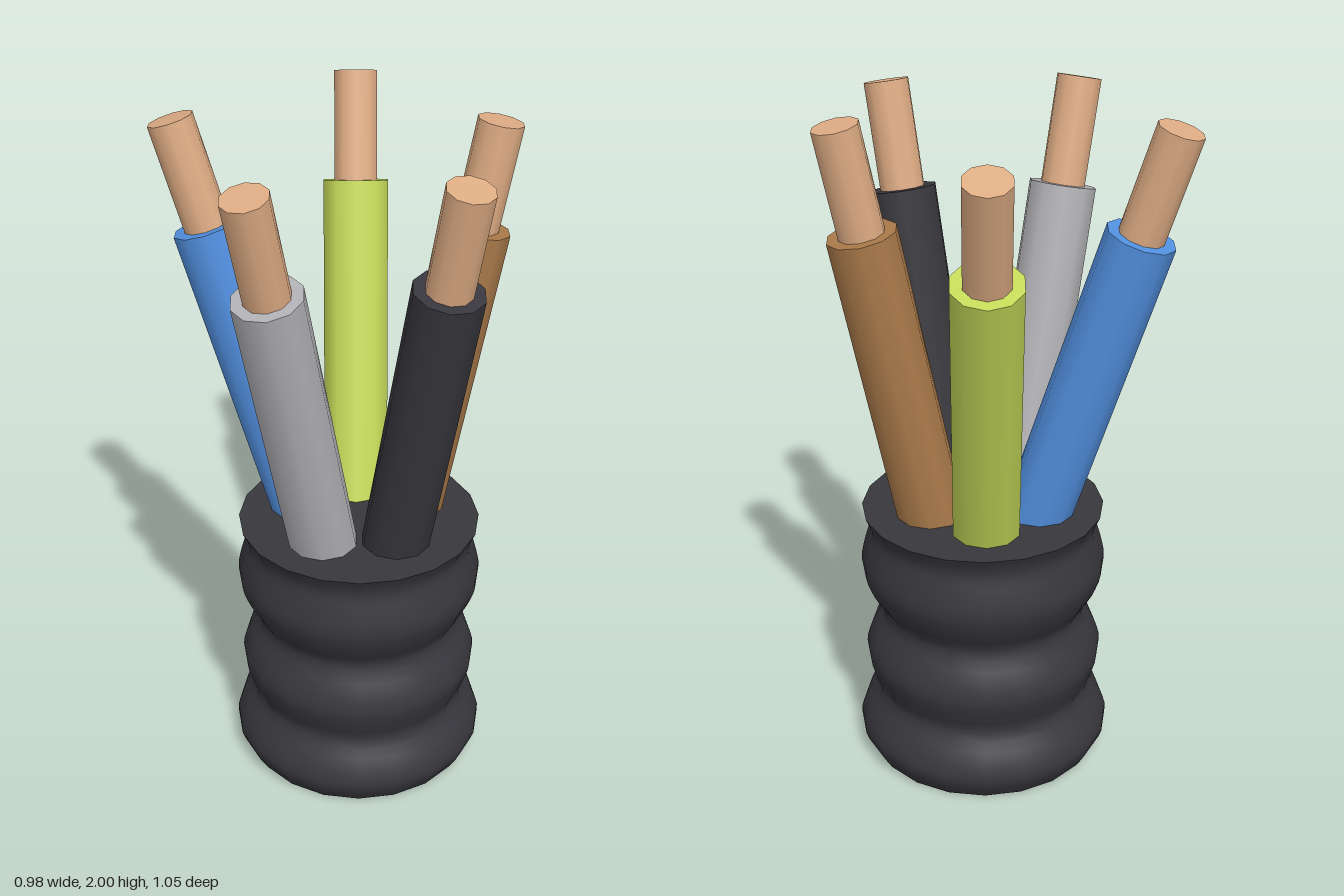
import * as THREE from 'three';

const material = (name, color) => {
  const m = new THREE.MeshStandardMaterial({ color });
  m.name = name;
  return m;
};

const mats = {
  black: material('black rubber', 0x37373d),
  blue: material('blue insulation', 0x5290e0),
  green: material('yellow green insulation', 0xc4d858),
  grey: material('grey insulation', 0xb2b2b6),
  brown: material('brown insulation', 0xaa7a4a),
  copper: material('copper', 0xdeac84),
};

// cylinder running between two points
function rod(name, from, to, radius, mat) {
  const dir = to.clone().sub(from);
  const mesh = new THREE.Mesh(new THREE.CylinderGeometry(radius, radius, dir.length(), 10), mat);
  mesh.position.copy(from).add(to).multiplyScalar(0.5);
  mesh.quaternion.setFromUnitVectors(new THREE.Vector3(0, 1, 0), dir.normalize());
  mesh.name = name;
  return mesh;
}

// ribbed outer sheath with flat end caps
function makeSheath() {
  const sheath = new THREE.Group();
  sheath.name = 'sheath';
  const sides = 20;
  const knots = [
    [0.35, 0], [0.383, 0.065], [0.368, 0.13], [0.327, 0.205], [0.342, 0.265], [0.358, 0.33],
    [0.342, 0.395], [0.306, 0.475], [0.34, 0.545], [0.365, 0.62], [0.354, 0.69], [0.338, 0.755], [0.358, 0.81],
  ].map(([r, y]) => new THREE.Vector2(r, y));
  const profile = new THREE.SplineCurve(knots).getPoints(36);
  const wall = new THREE.Mesh(new THREE.LatheGeometry(profile, sides), mats.black);
  wall.name = 'ribbedWall';
  const top = new THREE.Mesh(new THREE.CircleGeometry(0.358, sides), mats.black);
  top.name = 'sheathTop';
  top.rotation.x = -Math.PI / 2;
  top.position.y = 0.81;
  const bottom = new THREE.Mesh(new THREE.CircleGeometry(0.35, sides), mats.black);
  bottom.name = 'sheathBottom';
  bottom.rotation.x = Math.PI / 2;
  sheath.add(wall, top, bottom);
  sheath.position.set(0.038, 0, 0.014);
  return sheath;
}

export function createModel() {
  const model = new THREE.Group();
  model.name = 'strippedCable';
  model.add(makeSheath());

  // each wire: foot at the sheath top (x, z) and centre of the bare copper tip (x, z, y)
  const wires = [
    ['black', [0.043, 0.187], [0.045, 0.459, 1.985]],
    ['grey', [-0.13, 0.066], [-0.43, 0.169, 1.983]],
    ['blue', [-0.06, -0.126], [-0.283, -0.423, 1.981]],
    ['green', [0.133, -0.13], [0.377, -0.468, 1.978]],
    ['brown', [0.198, 0.053], [0.424, 0.13, 1.987]],
  ];
  for (const [color, [fx, fz], [tx, tz, ty]] of wires) {
    const foot = new THREE.Vector3(fx, 0.81, fz);
    const tip = new THREE.Vector3(tx, ty, tz);
    const along = (t) => foot.clone().lerp(tip, t);
    const wire = new THREE.Group();
    wire.name = color + 'Wire';
    wire.add(
      rod(color + 'Insulation', along(-0.1), along(0.745), 0.1, mats[color]),
      rod(color + 'WireCopper', along(0.7), tip, 0.066, mats.copper),
    );
    model.add(wire);
  }
  return model;
}
